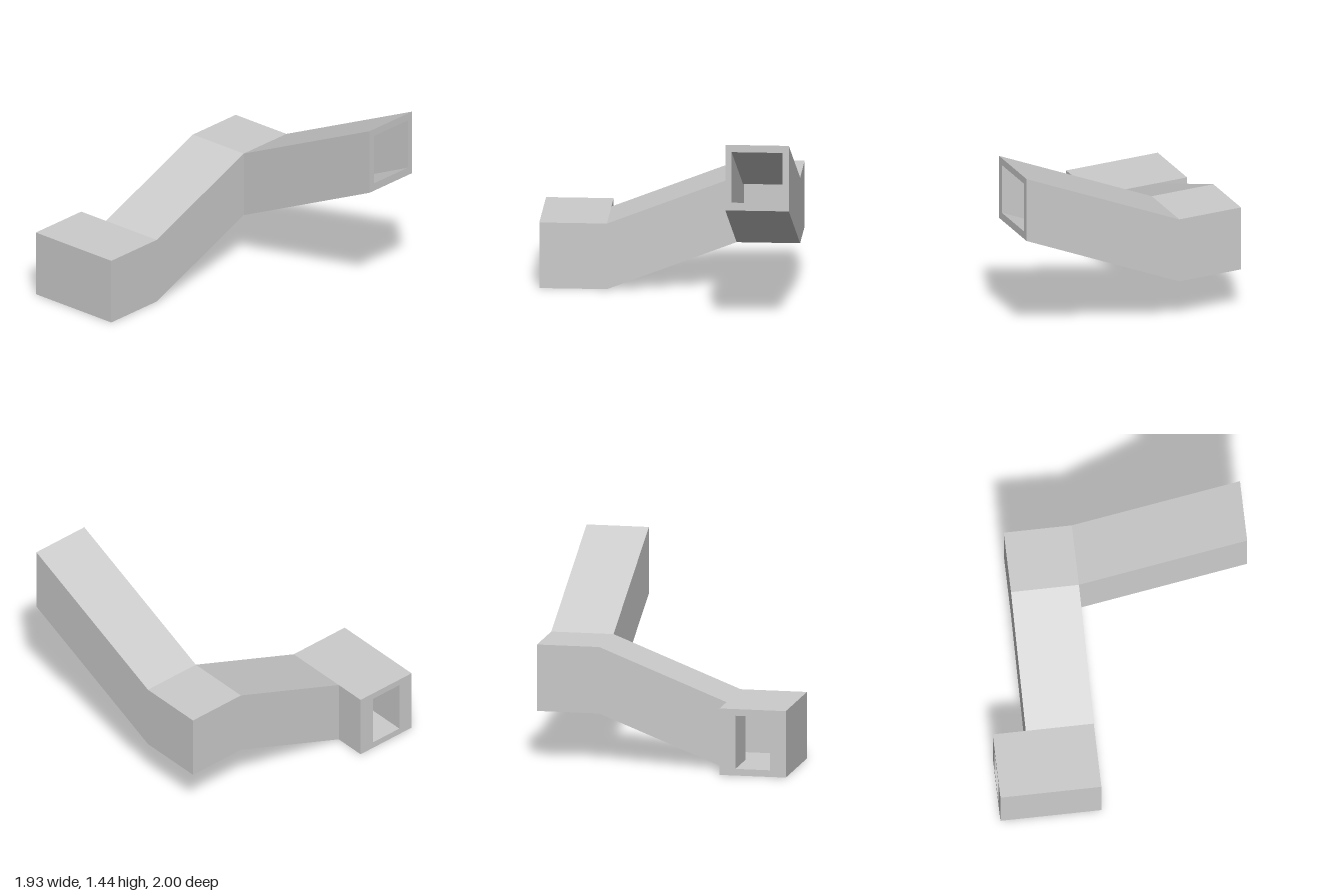
import * as THREE from 'three';

// Four-cornered ring of the duct: left and right wall in plan, floor and ceiling heights
const ring = (lx, lz, rx, rz, y0, y1) => [
  [lx, y0, lz], [rx, y0, rz], [rx, y1, rz], [lx, y1, lz],
];

// Joins successive rings with flat, sharp-edged faces
function loft(rings) {
  const pos = [];
  for (let i = 0; i < rings.length - 1; i++) {
    for (let j = 0; j < 4; j++) {
      const k = (j + 1) % 4;
      const a = rings[i][j], b = rings[i][k], c = rings[i + 1][k], d = rings[i + 1][j];
      pos.push(...a, ...c, ...b, ...a, ...d, ...c);
    }
  }
  const geo = new THREE.BufferGeometry();
  geo.setAttribute('position', new THREE.Float32BufferAttribute(pos, 3));
  geo.computeVertexNormals();
  return geo;
}

export function createModel() {
  const group = new THREE.Group();
  group.name = 'duct';
  const material = new THREE.MeshStandardMaterial({ color: 0xcccccc, flatShading: true });

  // Path: back opening, corner, rising run, corner, rising run, front opening
  const outer = [
    ring(-0.465, -1, -0.965, -1, 0, 0.5),
    ring(-0.465, -0.755, -0.965, -0.25, 0, 0.5),
    ring(-0.465, -0.755, -0.465, -0.25, 0, 0.5),
    ring(0.495, -0.755, 0.495, -0.25, 0.375, 0.875),
    ring(0.965, -0.755, 0.495, -0.25, 0.375, 0.875),
    ring(0.965, -0.25, 0.495, -0.25, 0.375, 0.875),
    ring(0.965, 1, 0.495, 1, 0.94, 1.44),
  ];
  const inner = [
    ring(-0.585, -1, -0.845, -1, 0.05, 0.45),
    ring(-0.585, -0.65, -0.845, -0.36, 0.05, 0.45),
    ring(-0.465, -0.65, -0.465, -0.36, 0.05, 0.45),
    ring(0.495, -0.65, 0.495, -0.36, 0.43, 0.82),
    ring(0.918, -0.65, 0.542, -0.36, 0.43, 0.82),
    ring(0.918, -0.25, 0.542, -0.25, 0.43, 0.82),
    ring(0.918, 1, 0.542, 1, 1.0, 1.385),
  ];

  const add = (name, rings) => {
    const mesh = new THREE.Mesh(loft(rings), material);
    mesh.name = name;
    group.add(mesh);
  };
  add('outerShell', outer);
  add('innerLining', [...inner].reverse());
  // Flat rims around the two openings
  add('backRim', [inner[0], outer[0]]);
  add('frontRim', [outer[6], inner[6]]);
  return group;
}
